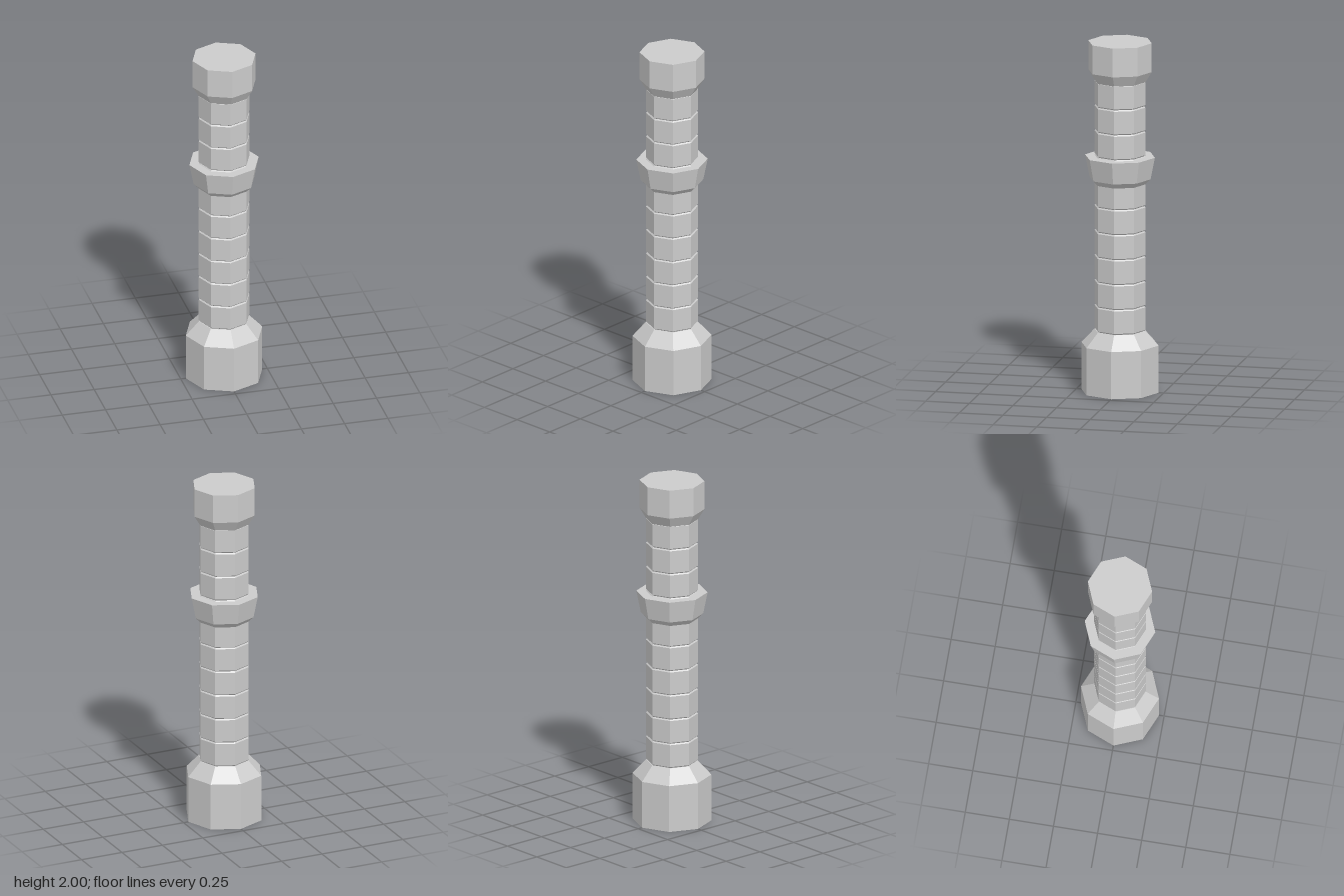
import * as THREE from 'three';

const material = new THREE.MeshStandardMaterial({ color: 0xcccccc, flatShading: true });

// Eight-sided solid turned from [radius, height] pairs, listed bottom to top
function octagonal(name, profile) {
  const points = profile.map(([r, y]) => new THREE.Vector2(r, y));
  const mesh = new THREE.Mesh(new THREE.LatheGeometry(points, 8), material);
  mesh.name = name;
  return mesh;
}

export function createModel() {
  const group = new THREE.Group();
  group.name = 'handle';

  const gripR = 0.146, grooveR = 0.139, bevel = 0.007;
  const gripBottom = 0.35, gripTop = 1.78, count = 10;
  const pitch = (gripTop - gripBottom) / count;

  // Heavy pommel with a sloped shoulder
  group.add(octagonal('pommel', [
    [0, 0], [0.221, 0], [0.221, 0.27], [gripR, 0.35], [0, 0.35],
  ]));

  // Grip made of stacked bands with bevelled grooves between them
  const grip = [[grooveR, gripBottom]];
  for (let i = 0; i < count; i++) {
    const y = gripBottom + i * pitch;
    grip.push([gripR, y + bevel], [gripR, y + pitch - bevel], [grooveR, y + pitch]);
  }
  group.add(octagonal('grip', grip));

  // Flared collar around the grip
  group.add(octagonal('collar', [
    [gripR - 0.01, 1.18], [0.175, 1.22], [0.2, 1.345], [gripR - 0.01, 1.345],
  ]));

  // Head cap
  group.add(octagonal('cap', [
    [0, 1.775], [gripR, 1.775], [0.182, 1.835], [0.182, 2], [0, 2],
  ]));

  return group;
}
